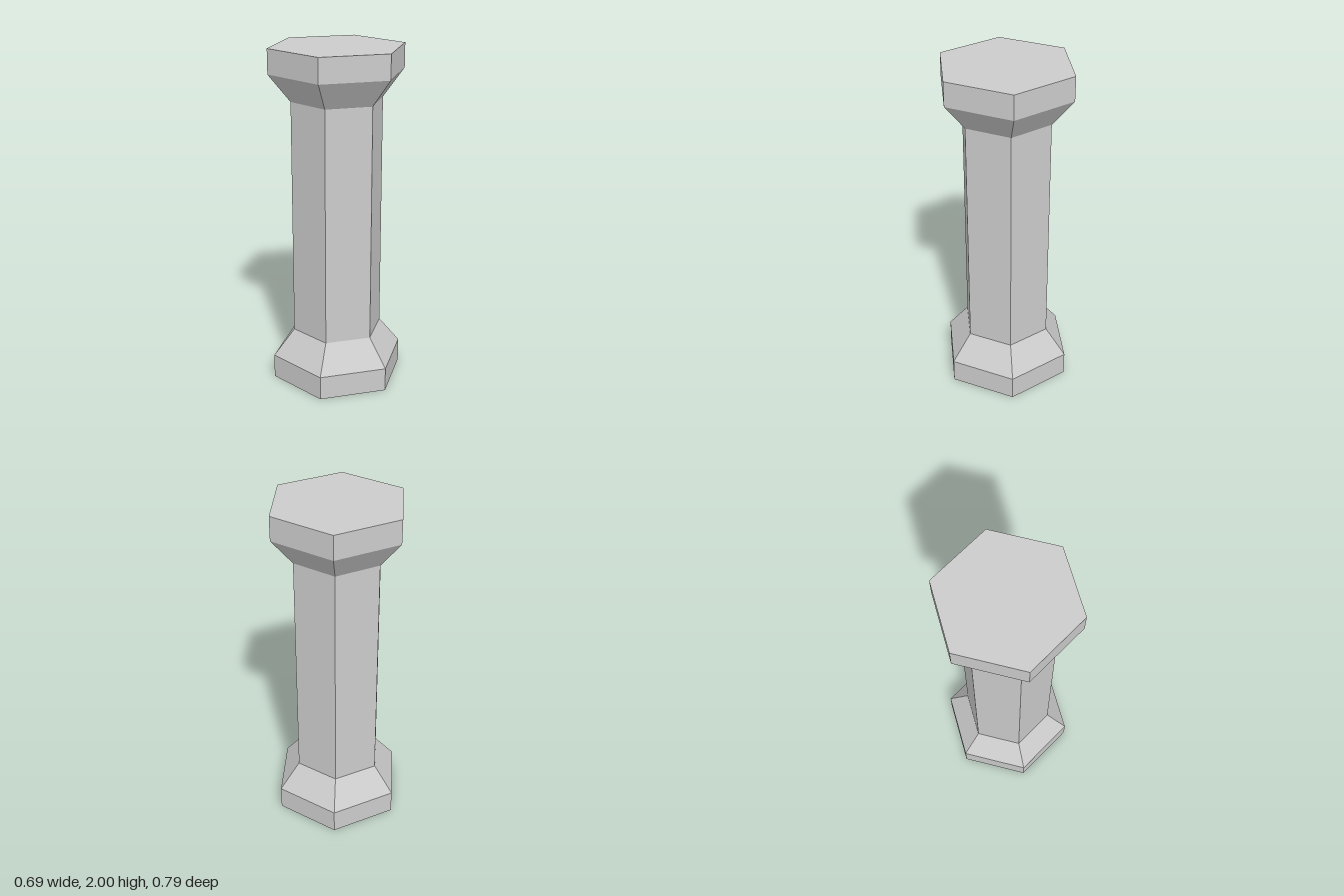
import * as THREE from 'three';

const SIDES = 6;
const WIDE = 0.397; // corner radius of base and capital
const SLIM = 0.27; // corner radius of the shaft
const SLAB = 0.142; // height of the straight end blocks
const NECK = 0.302; // height where the flare meets the shaft
const HEIGHT = 2;

export function createModel() {
  const column = new THREE.Group();
  column.name = 'hexagonalColumn';
  const material = new THREE.MeshStandardMaterial({ color: 0xcccccc, flatShading: true });

  // Hexagonal outer surface, from a profile of [radius, height] points going upwards
  function addPart(name, profile) {
    const points = profile.map(([r, y]) => new THREE.Vector2(r, y));
    const mesh = new THREE.Mesh(new THREE.LatheGeometry(points, SIDES), material);
    mesh.name = name;
    column.add(mesh);
  }

  // Base: closed underside, straight block, then a taper in to the shaft
  addPart('base', [[0, 0], [WIDE, 0], [WIDE, SLAB], [SLIM, NECK]]);

  // Shaft
  addPart('shaft', [[SLIM, NECK], [SLIM, HEIGHT - NECK]]);

  // Capital: the base mirrored, closed on top
  addPart('capital', [[SLIM, HEIGHT - NECK], [WIDE, HEIGHT - SLAB], [WIDE, HEIGHT], [0, HEIGHT]]);

  return column;
}
